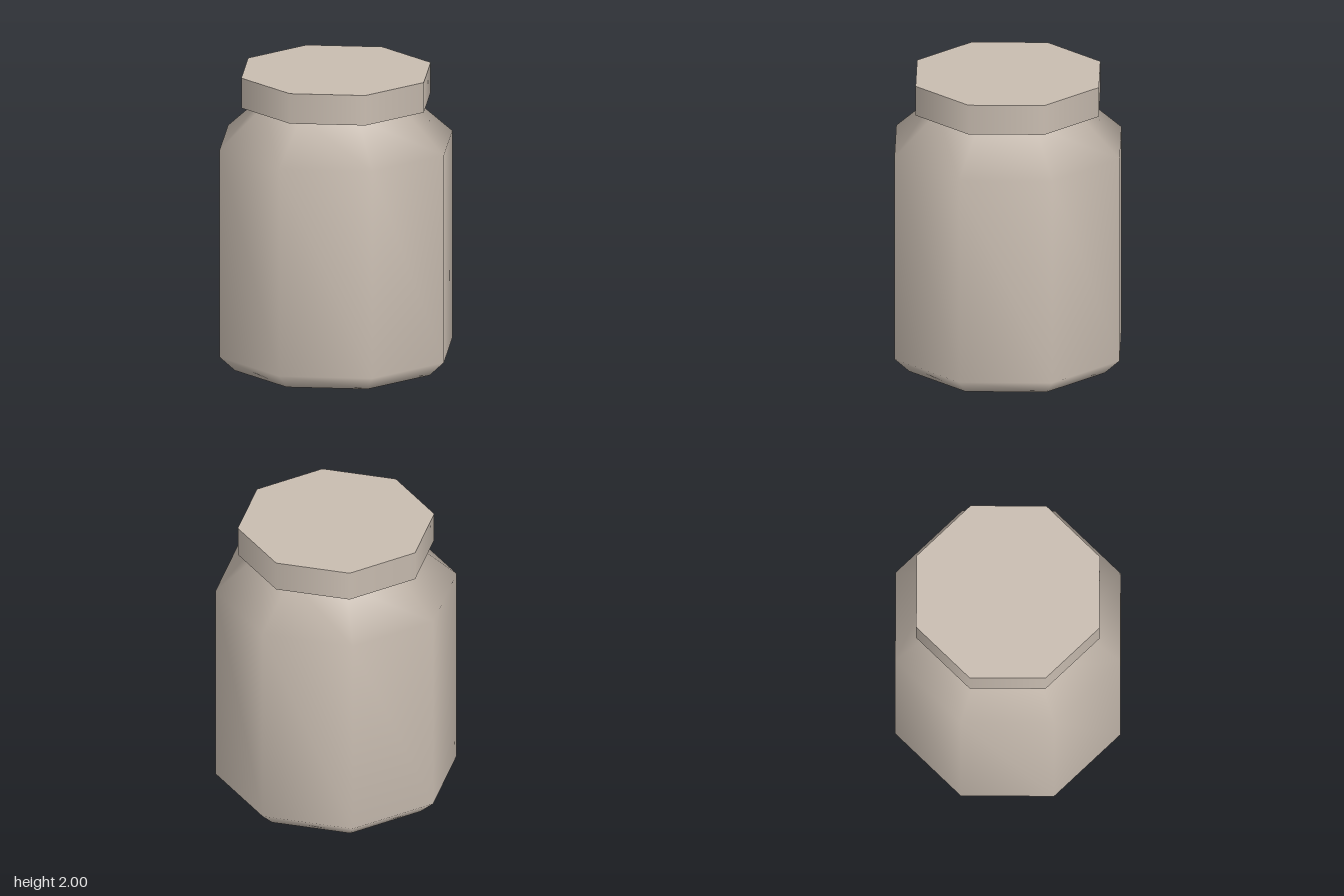
import * as THREE from 'three';
import { mergeVertices } from 'three/addons/utils/BufferGeometryUtils.js';

const SIDES = 8;

// Lathe whose seam and pole are welded, so the shading runs smoothly all round
function smoothLathe(profile) {
  const points = profile.map(([r, y]) => new THREE.Vector2(r, y));
  const lathe = new THREE.LatheGeometry(points, SIDES);
  lathe.deleteAttribute('uv');
  lathe.deleteAttribute('normal');
  const welded = mergeVertices(lathe, 1e-4);
  welded.computeVertexNormals();
  return welded;
}

export function createModel() {
  const group = new THREE.Group();
  group.name = 'jar';
  const clay = new THREE.MeshStandardMaterial({ color: 0xc8bcb0 });
  clay.name = 'warm grey';

  const add = (name, geometry, y = 0) => {
    const mesh = new THREE.Mesh(geometry, clay);
    mesh.name = name;
    mesh.position.y = y;
    group.add(mesh);
    return mesh;
  };

  // Base, chamfer, wall and shoulder, then out along the underside of the lid
  add('body', smoothLathe([
    [0, 0], [0.7, 0], [0.805, 0.1], [0.805, 1.52], [0.5, 1.795], [0.655, 1.795],
  ]));

  // Lid with a crisp flat top
  add('lidRim', new THREE.CylinderGeometry(0.655, 0.655, 0.205, SIDES, 1, true), 1.8975);
  add('lidTop', new THREE.CircleGeometry(0.655, SIDES).rotateX(-Math.PI / 2), 2);

  return group;
}
